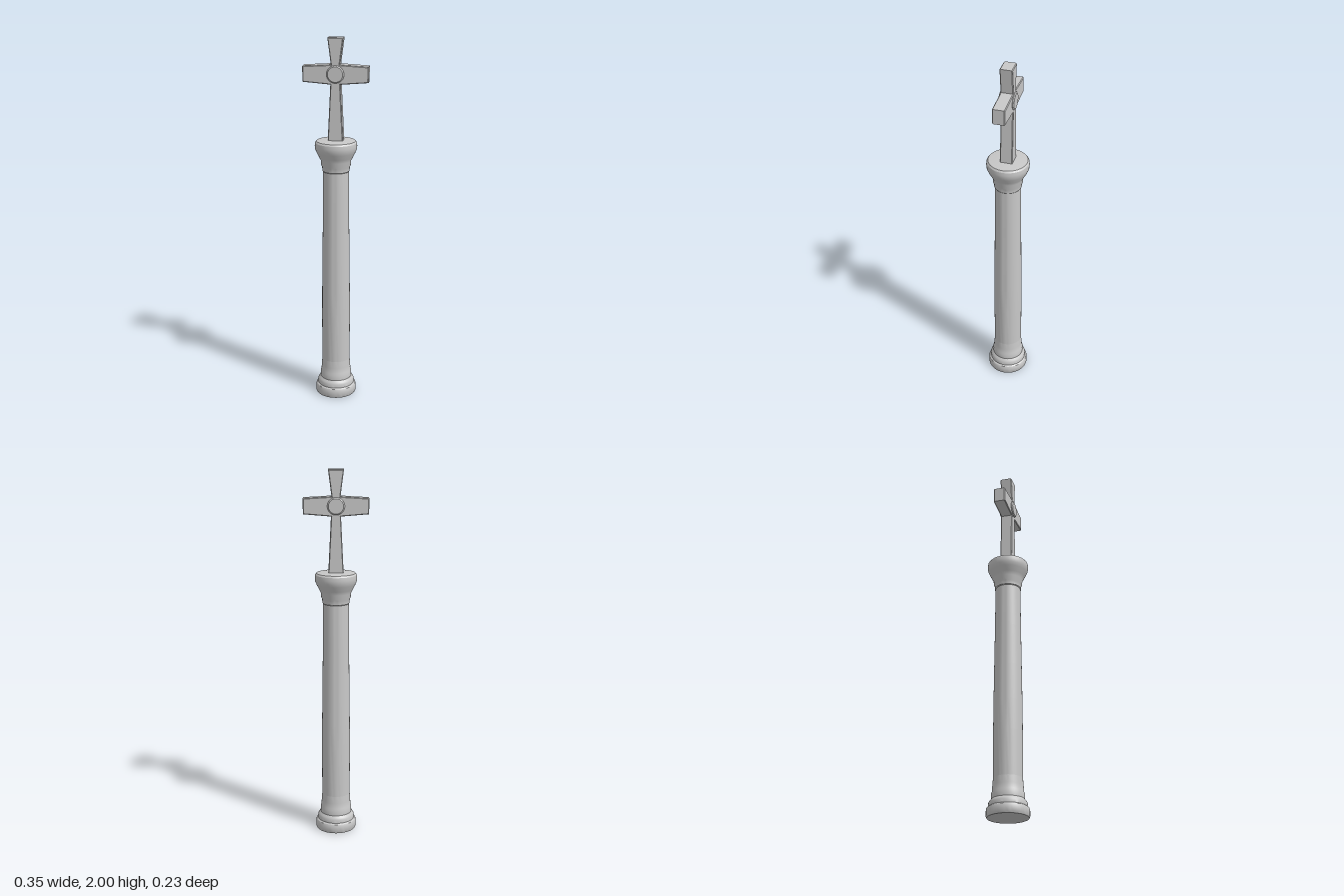
import * as THREE from 'three';
import { toCreasedNormals } from 'three/addons/utils/BufferGeometryUtils.js';

const stone = new THREE.MeshStandardMaterial({ color: 0xc8c8c8 });
stone.name = 'grey stone';

// Turned part from [radius, height] pairs, listed bottom to top
function turned(name, profile) {
  const points = profile.map(([r, y]) => new THREE.Vector2(r, y));
  const geometry = toCreasedNormals(new THREE.LatheGeometry(points, 48), 0.5);
  const mesh = new THREE.Mesh(geometry, stone);
  mesh.name = name;
  return mesh;
}

export function createModel() {
  const group = new THREE.Group();
  group.name = 'columnCross';

  // Moulded base, closed underneath
  group.add(turned('base', [
    [0, 0], [0.108, 0], [0.112, 0.008], [0.112, 0.04], [0.108, 0.05],
    [0.1, 0.056], [0.1, 0.075], [0.095, 0.085], [0.086, 0.095],
    [0.086, 0.125], [0.082, 0.135], [0.08, 0.165], [0.077, 0.205],
  ]));

  // Shaft with a gentle taper
  group.add(turned('shaft', [
    [0.077, 0.205], [0.0775, 0.45], [0.0765, 0.62], [0.074, 0.82], [0.071, 1.05], [0.069, 1.29],
  ]));

  // Flared capital with a slightly domed top
  group.add(turned('capital', [
    [0.069, 1.29], [0.073, 1.295], [0.074, 1.315], [0.079, 1.325], [0.08, 1.348],
    [0.09, 1.368], [0.104, 1.395], [0.111, 1.412], [0.113, 1.43],
    [0.111, 1.447], [0.104, 1.456], [0.06, 1.461], [0, 1.463],
  ]));

  // Cross outline for the right half, mirrored for the left; bevel adds to it
  const bevel = 0.004;
  const half = [
    [0.037, 1.45], [0.022, 1.762], [0.169, 1.774],
    [0.169, 1.849], [0.019, 1.858], [0.037, 1.996],
  ];
  const outline = [...half, ...half.map(([x, y]) => [-x, y]).reverse()];
  const shape = new THREE.Shape(outline.map(([x, y]) => new THREE.Vector2(x, y)));
  const depth = 0.058;
  const crossGeometry = new THREE.ExtrudeGeometry(shape, {
    depth, bevelEnabled: true, bevelThickness: bevel, bevelSize: bevel, bevelSegments: 1,
  });
  crossGeometry.translate(0, 0, -depth / 2 - 0.001);
  const cross = new THREE.Mesh(crossGeometry, stone);
  cross.name = 'cross';
  group.add(cross);

  // Chamfered round boss through the crossing, showing on both faces
  const boss = turned('boss', [
    [0, -0.041], [0.04, -0.041], [0.046, -0.036], [0.046, 0.036], [0.04, 0.041], [0, 0.041],
  ]);
  boss.rotation.x = Math.PI / 2;
  boss.position.set(0, 1.812, -0.001);
  group.add(boss);

  return group;
}
